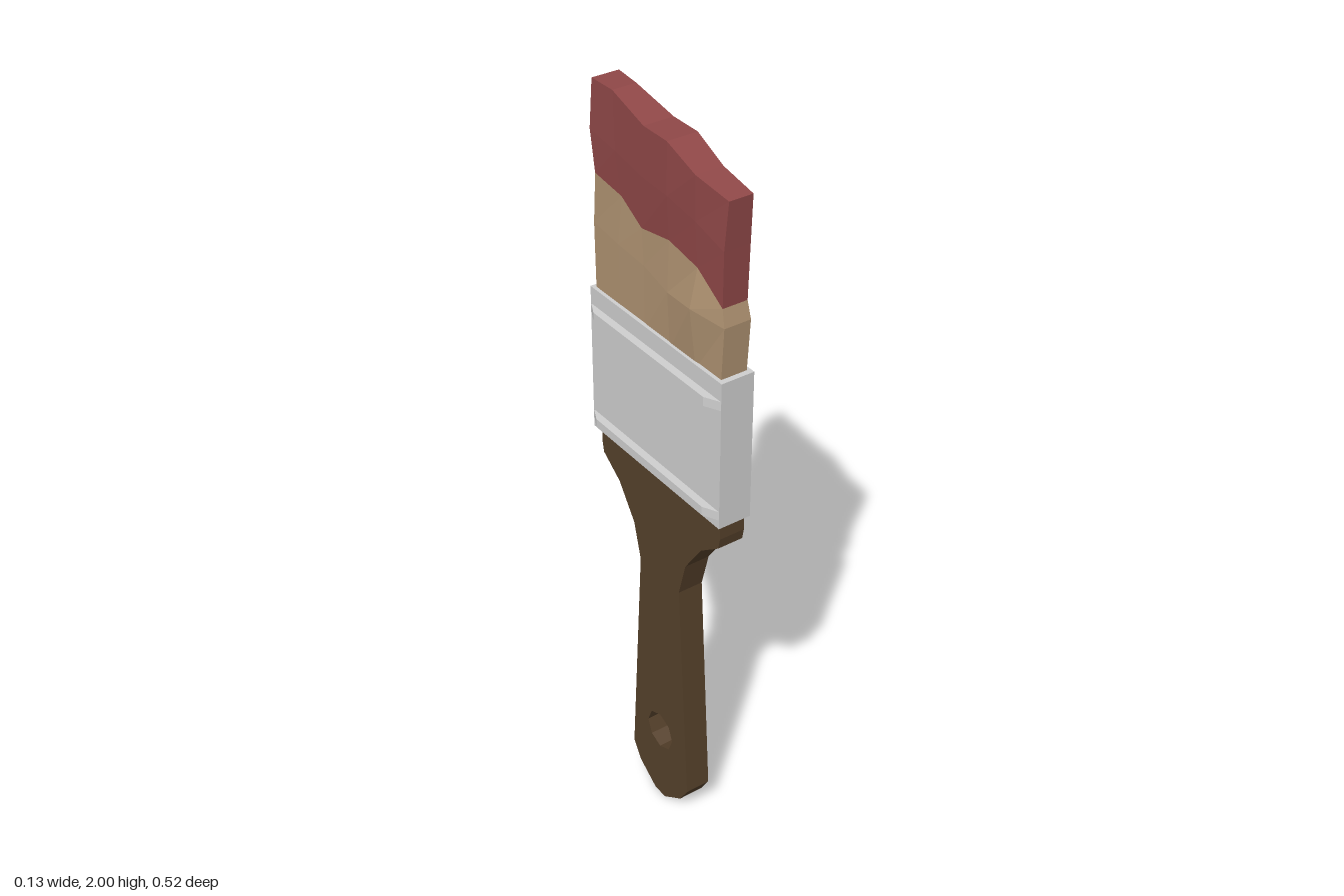
import * as THREE from 'three';

const mat = (name, color) => {
  const m = new THREE.MeshStandardMaterial({ color, flatShading: true });
  m.name = name;
  return m;
};

export function createModel() {
  const wood = mat('dark wood', 0x56412b);
  const metal = mat('pale metal', 0xcfcfcf);
  const hair = mat('tan bristle', 0xb09372);
  const paint = mat('red paint', 0x904848);

  const group = new THREE.Group();
  group.name = 'paintbrush';
  const add = (name, geo, material, y = 0) => {
    const mesh = new THREE.Mesh(geo, material);
    mesh.name = name;
    mesh.position.y = y;
    group.add(mesh);
  };

  // Handle: mirrored outline (half width, height) with an eight-sided hanging hole
  const cz = 0.006;
  const half = [[0.022, 0], [0.093, 0.05], [0.124, 0.1], [0.083, 0.76], [0.11, 0.86],
    [0.173, 0.95], [0.241, 1.0], [0.247, 1.03], [0.247, 1.1]];
  const pts = half.map(([w, y]) => new THREE.Vector2(cz + w, y))
    .concat(half.slice().reverse().map(([w, y]) => new THREE.Vector2(cz - w, y)));
  const outline = new THREE.Shape(pts);
  const hole = [];
  for (let i = 0; i < 8; i++) {
    const a = -i * Math.PI / 4;
    hole.push(new THREE.Vector2(cz + 0.055 * Math.cos(a), 0.23 + 0.057 * Math.sin(a)));
  }
  outline.holes.push(new THREE.Path(hole));
  const handle = new THREE.ExtrudeGeometry(outline, { depth: 0.07, bevelEnabled: false });
  handle.translate(0, 0, -0.035).rotateY(-Math.PI / 2);
  add('handle', handle, wood);

  // Metal ferrule and its two raised ribs with tapered ends
  add('ferrule', new THREE.BoxGeometry(0.09, 0.4, 0.522), metal, 1.27);
  const plan = new THREE.Shape([[0.045, -0.26], [0.065, -0.22], [0.065, 0.22], [0.045, 0.26],
    [-0.045, 0.26], [-0.065, 0.22], [-0.065, -0.22], [-0.045, -0.26]]
    .map(([x, z]) => new THREE.Vector2(x, z)));
  for (const [name, y] of [['lowerRib', 1.107], ['upperRib', 1.411]]) {
    const rib = new THREE.ExtrudeGeometry(plan, { depth: 0.024, bevelEnabled: false });
    rib.translate(0, 0, -0.012).rotateX(Math.PI / 2);
    add(name, rib, metal, y);
  }

  // Bristle cross-sections: six stations along z, with heights and both side offsets
  const row = (z, y, right, left) => [
    ...z.map((v, i) => [right[i], y[i], v]),
    ...z.map((v, i) => [left[i], y[i], v]).reverse(),
  ];
  const base = row([0.245, 0.15, 0.05, -0.05, -0.15, -0.25], Array(6).fill(1.45),
    Array(6).fill(0.035), Array(6).fill(-0.035));
  const belly = row([0.255, 0.15, 0.05, -0.05, -0.15, -0.255], [1.605, 1.61, 1.6, 1.62, 1.63, 1.64],
    [0.036, 0.03, 0.036, 0.04, 0.033, 0.032], [-0.036, -0.053, -0.042, -0.036, -0.038, -0.034]);
  const edge = row([0.245, 0.155, 0.05, -0.06, -0.14, -0.245], [1.65, 1.71, 1.73, 1.71, 1.755, 1.77],
    [0.033, 0.034, 0.038, 0.051, 0.04, 0.03], [-0.034, -0.036, -0.037, -0.034, -0.033, -0.034]);
  const middle = row([0.249, 0.15, 0.05, -0.05, -0.16, -0.26], [1.79, 1.82, 1.84, 1.84, 1.86, 1.875],
    [0.034, 0.03, 0.035, 0.043, 0.034, 0.036], [-0.036, -0.039, -0.043, -0.037, -0.036, -0.036]);
  const tip = row([0.255, 0.15, 0.045, -0.045, -0.17, -0.25], [1.91, 1.93, 1.965, 1.965, 2, 2],
    [0.033, 0.033, 0.042, 0.043, 0.031, 0.039], [-0.03, -0.04, -0.039, -0.037, -0.033, -0.034]);

  // Skin successive rings, closing the last one with a cap if asked
  const skin = (rings, cap) => {
    const pos = [];
    const quad = (a, b, c, d) => pos.push(...a, ...b, ...c, ...a, ...c, ...d);
    for (let r = 0; r < rings.length - 1; r++) {
      const lo = rings[r], hi = rings[r + 1], n = lo.length;
      for (let i = 0; i < n; i++) quad(lo[i], lo[(i + 1) % n], hi[(i + 1) % n], hi[i]);
    }
    if (cap) {
      const t = rings[rings.length - 1], n = t.length;
      for (let i = 0; i < n / 2 - 1; i++) quad(t[i], t[i + 1], t[n - 2 - i], t[n - 1 - i]);
    }
    const geo = new THREE.BufferGeometry();
    geo.setAttribute('position', new THREE.Float32BufferAttribute(pos, 3));
    geo.computeVertexNormals();
    return geo;
  };
  add('bristles', skin([base, belly, edge], false), hair);
  add('paintedTip', skin([edge, middle, tip], true), paint);

  return group;
}
